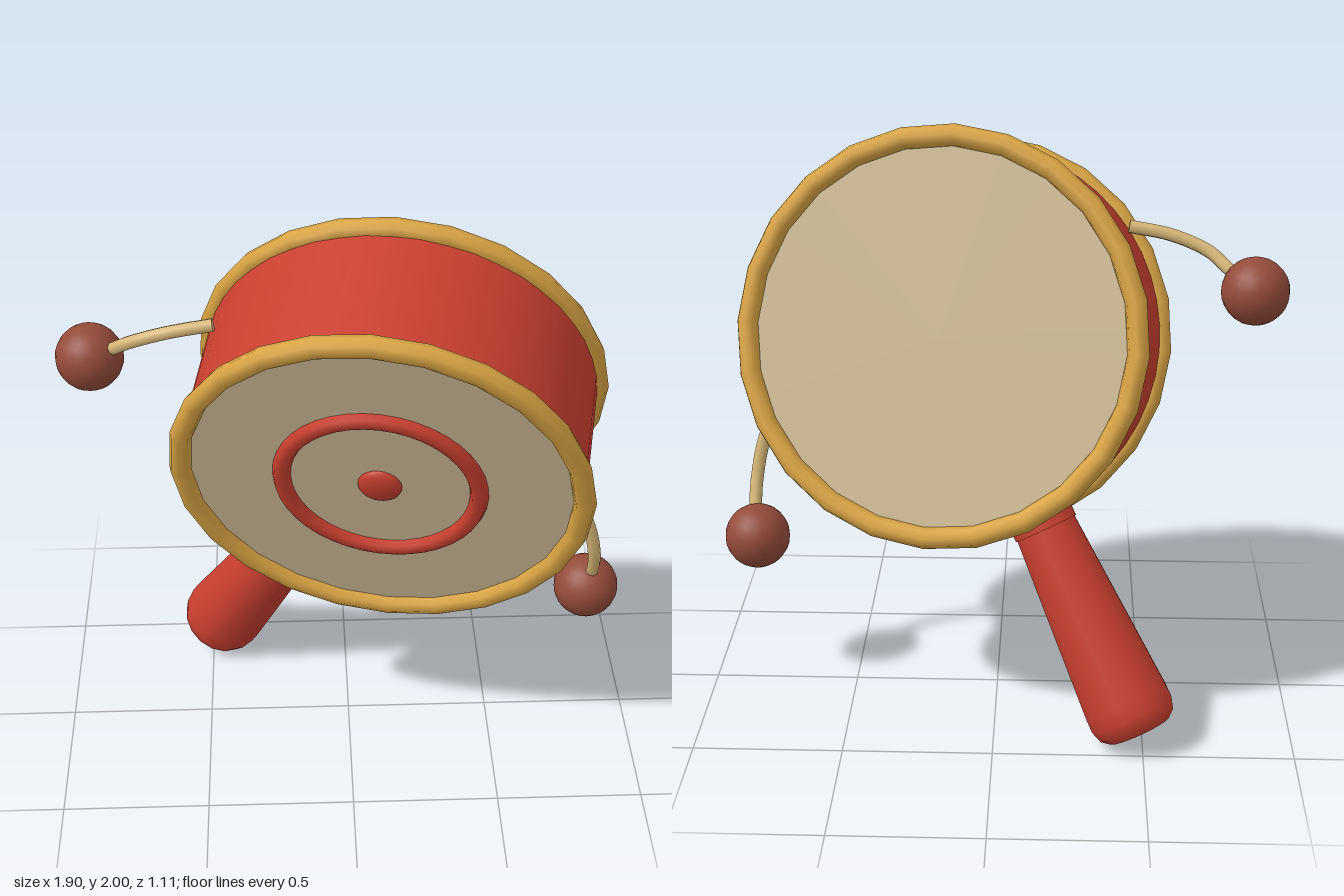
import * as THREE from 'three';

const material = (name, color, side = THREE.FrontSide) => {
  const m = new THREE.MeshStandardMaterial({ color, side });
  m.name = name;
  return m;
};

export function createModel() {
  const red = material('red lacquer', 0xc83f2f);
  const skinTan = material('drum skin', 0xd0bb95);
  const gold = material('gold rim', 0xd9a443);
  const brown = material('bead brown', 0x944b39);
  const cordTan = material('cord', 0xd9b878, THREE.DoubleSide);

  const model = new THREE.Group();
  model.name = 'handDrum';
  const add = (parent, name, geometry, mat) => {
    const mesh = new THREE.Mesh(geometry, mat);
    mesh.name = name;
    parent.add(mesh);
    return mesh;
  };

  // Tilted drum frame: local y runs up the handle, local z out of the front skin
  const up = new THREE.Vector3(0.432, 0.835, 0.347).normalize();
  const out = new THREE.Vector3(-0.187, -0.285, 0.94);
  out.addScaledVector(up, -out.dot(up)).normalize();
  const side = new THREE.Vector3().crossVectors(up, out);
  const drum = new THREE.Group();
  drum.name = 'drum';
  drum.quaternion.setFromRotationMatrix(new THREE.Matrix4().makeBasis(side, up, out));
  drum.position.set(0.137, 1.265, 0.068);
  model.add(drum);

  const half = 0.2475;
  const R = 0.655;

  // Drum body
  add(drum, 'body', new THREE.CylinderGeometry(R, R, half * 2, 48, 1, true).rotateX(Math.PI / 2), red);

  // Skin and rim on both ends
  for (const [end, s] of [['front', 1], ['back', -1]]) {
    const skin = add(drum, end + 'Skin', new THREE.CircleGeometry(R, 48), skinTan);
    skin.position.z = s * half;
    if (s < 0) skin.rotation.y = Math.PI;
    const rim = add(drum, end + 'Rim', new THREE.TorusGeometry(R, 0.036, 8, 24), gold);
    rim.position.z = s * half;
  }

  // Raised ring and centre dot on the front skin
  add(drum, 'frontRing', new THREE.TorusGeometry(0.32, 0.03, 8, 40), red).position.z = half;
  const dot = add(drum, 'frontDot', new THREE.SphereGeometry(0.072, 20, 12), red);
  dot.position.z = half;
  dot.scale.z = 0.4;

  // Flared handle with a bevelled end, and the collar where it meets the drum
  const lathe = (points) =>
    new THREE.LatheGeometry(points.map(([r, y]) => new THREE.Vector2(r, y)), 16);
  add(drum, 'handle', lathe([
    [0.108, -1.452], [0.135, -1.43], [0.148, -1.39], [0.147, -1.34], [0.106, -0.7], [0.106, -0.55],
  ]), red);
  const cap = add(drum, 'handleEnd', new THREE.CircleGeometry(0.108, 16), red);
  cap.rotation.x = Math.PI / 2;
  cap.position.y = -1.452;
  add(drum, 'handleCollar', new THREE.CylinderGeometry(0.112, 0.112, 0.12, 16), red).position.y = -0.65;

  // Cords with beads hanging from both sides
  const strikers = [
    ['right', [[-0.43, 1.655, 0.06], [-0.57, 1.628, 0.055], [-0.69, 1.582, 0.03], [-0.76, 1.53, -0.015], [-0.84, 1.475, -0.06]]],
    ['left', [[0.765, 0.99, 0.115], [0.815, 0.86, 0.118], [0.84, 0.74, 0.1], [0.845, 0.65, 0.06], [0.835, 0.545, 0.01]]],
  ];
  for (const [name, path] of strikers) {
    const points = path.map((p) => new THREE.Vector3(...p));
    const curve = new THREE.CatmullRomCurve3(points);
    add(model, name + 'Cord', new THREE.TubeGeometry(curve, 20, 0.022, 8), cordTan);
    // Flat end where the cord meets the drum
    const plug = add(model, name + 'CordEnd', new THREE.CircleGeometry(0.022, 8), cordTan);
    plug.position.copy(points[0]);
    plug.lookAt(points[0].clone().sub(curve.getTangent(0)));
    add(model, name + 'Bead', new THREE.SphereGeometry(0.112, 20, 14), brown).position.copy(points[4]);
  }

  return model;
}
